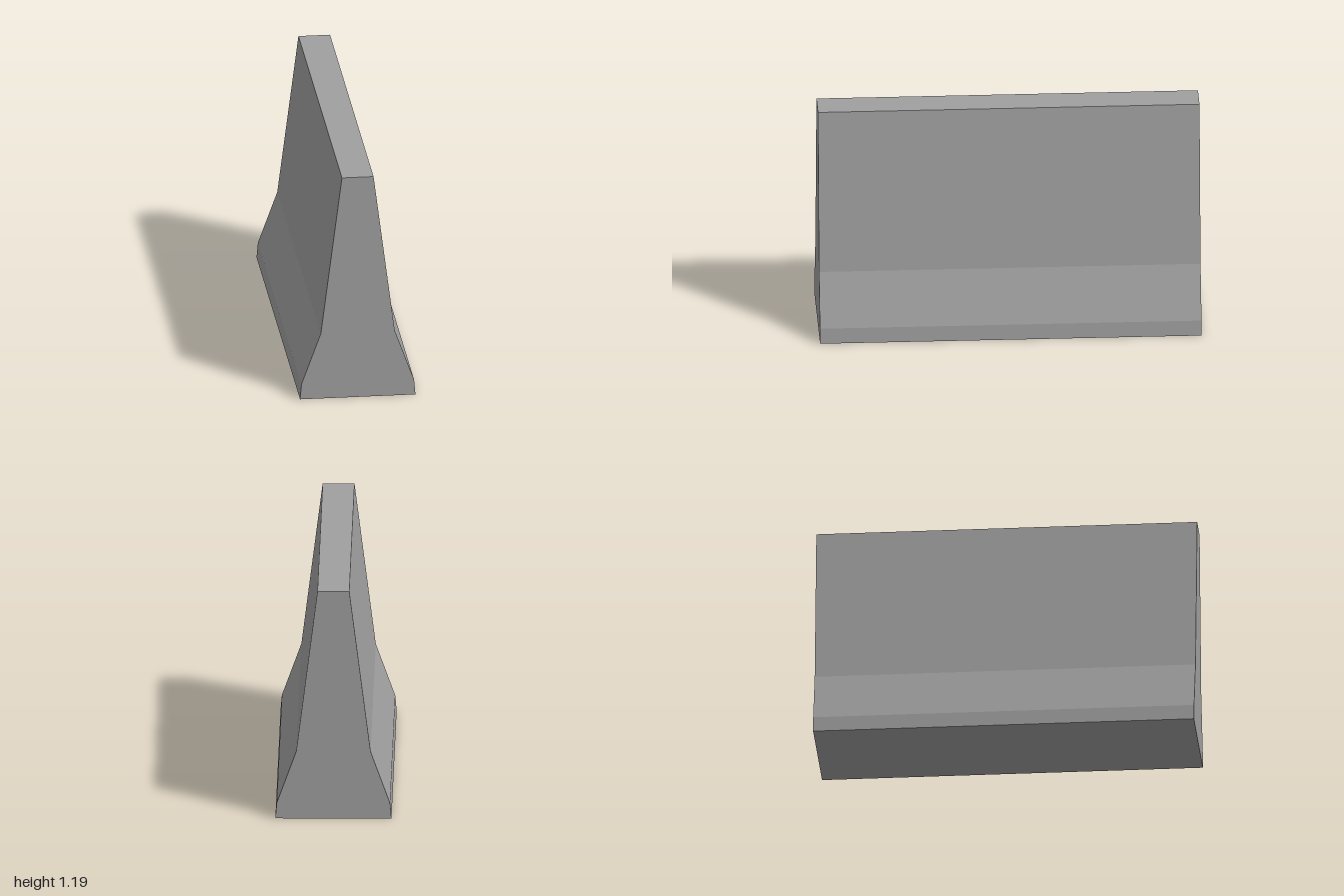
import * as THREE from 'three';

export function createModel() {
  const group = new THREE.Group();
  group.name = 'roadBarrier';
  const concrete = new THREE.MeshStandardMaterial({ color: 0xa0a0a0 });
  concrete.name = 'concrete grey';

  // Half profile from foot to top: [half width, height]
  const half = [[0.292, 0], [0.285, 0.08], [0.187, 0.35], [0.08, 1.19]];
  const mirrored = half.map(([x, y]) => [-x, y]).reverse();
  const profile = new THREE.Shape([...half, ...mirrored].map(([x, y]) => new THREE.Vector2(x, y)));

  // Sloped wall, extruded along its length and centred
  const length = 1.92;
  const geometry = new THREE.ExtrudeGeometry(profile, { depth: length, bevelEnabled: false });
  geometry.translate(0, 0, -length / 2);
  const wall = new THREE.Mesh(geometry, concrete);
  wall.name = 'barrierWall';

  // The barrier stands at an angle to the front
  wall.rotation.y = THREE.MathUtils.degToRad(-21.5);
  group.add(wall);
  return group;
}
